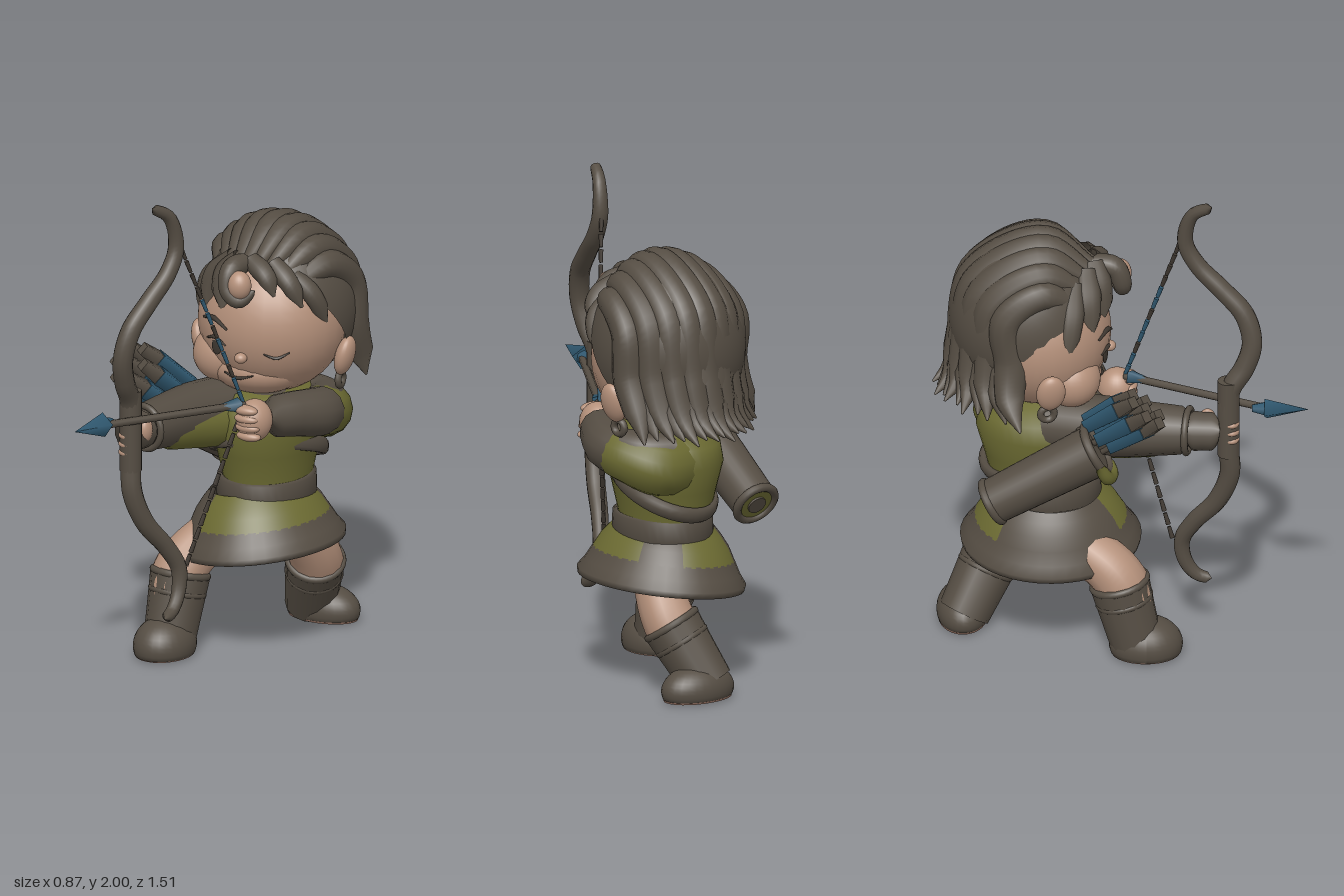
import * as THREE from 'three';

const mat = (name, color, side = THREE.FrontSide) => {
  const m = new THREE.MeshStandardMaterial({ color, side });
  m.name = name;
  return m;
};

export function createModel() {
  const root = new THREE.Group();
  const brown = mat('leather and hair brown', 0x554d43, THREE.DoubleSide);
  const olive = mat('olive cloth', 0x6b6a32, THREE.DoubleSide);
  const skin = mat('skin', 0xb5917b);
  const blue = mat('blue feathers', 0x315a72, THREE.DoubleSide);
  const dark = mat('dark lines', 0x3f3831);
  const sole = mat('boot sole', 0x7c5f52);
  const V = (p) => new THREE.Vector3(...p);

  const add = (name, geo, m, pos = [0, 0, 0], parent = root) => {
    const mesh = new THREE.Mesh(geo, m);
    mesh.name = name;
    mesh.position.set(...pos);
    parent.add(mesh);
    return mesh;
  };
  const ball = (name, pos, size, m, parent = root) => {
    const b = add(name, new THREE.SphereGeometry(1, 28, 20), m, pos, parent);
    b.scale.set(...size);
    return b;
  };
  // Tapered tube through points; radii are spread evenly along its length
  const loft = (name, pts, radii, m, round = 0, parent = root, seg = 28, sides = 14) => {
    const curve = new THREE.CatmullRomCurve3(pts.map(V), false, 'centripetal');
    const geo = new THREE.TubeGeometry(curve, seg, 1, sides);
    const a = geo.attributes.position, v = new THREE.Vector3();
    for (let i = 0; i < a.count; i++) {
      const t = Math.floor(i / (sides + 1)) / seg, c = curve.getPointAt(t);
      const f = t * (radii.length - 1), k = Math.min(Math.floor(f), radii.length - 2);
      let r = THREE.MathUtils.lerp(radii[k], radii[k + 1], f - k);
      if (round) {
        const e = Math.min(1, Math.min(t, 1 - t) / round);
        r *= Math.sqrt(Math.max(0, 1 - (1 - e) ** 2));
      }
      v.fromBufferAttribute(a, i).sub(c).multiplyScalar(r).add(c);
      a.setXYZ(i, v.x, v.y, v.z);
    }
    return add(name, geo, m, [0, 0, 0], parent);
  };
  const rod = (name, p, q, r0, r1, m, sides = 8) => {
    const a = V(p), b = V(q), d = b.clone().sub(a);
    const mesh = add(name, new THREE.CylinderGeometry(r1, r0, d.length(), sides), m,
      a.clone().add(b).multiplyScalar(0.5).toArray());
    mesh.quaternion.setFromUnitVectors(new THREE.Vector3(0, 1, 0), d.normalize());
    return mesh;
  };
  const ring = (name, pos, dir, r, tube, m) => {
    const t = add(name, new THREE.TorusGeometry(r, tube, 10, 36), m, pos);
    t.quaternion.setFromUnitVectors(new THREE.Vector3(0, 0, 1), V(dir).normalize());
    return t;
  };
  const lathe = (name, prof, m, pos, sx, sz, parent = root, from = 0, arc = Math.PI * 2) => {
    const l = add(name, new THREE.LatheGeometry(prof.map((p) => new THREE.Vector2(...p)), 40, from, arc), m, pos, parent);
    l.scale.set(sx, 1, sz);
    return l;
  };

  // Tunic and belt
  lathe('tunic', [[0.2, 0.6], [0.205, 0.7], [0.235, 0.82], [0.265, 0.93], [0.25, 1.01], [0.19, 1.07], [0.001, 1.1]],
    olive, [0.08, 0, -0.31], 0.84, 1.03);
  lathe('belt', [[0.2, 0.61], [0.225, 0.615], [0.222, 0.7], [0.2, 0.705]], brown, [0.08, 0, -0.3], 0.87, 1);
  // Bell skirt tilted up on the left: olive panels front and back, leather elsewhere
  const skirt = new THREE.Group();
  skirt.name = 'skirt';
  skirt.position.set(0.05, 0.6, -0.28);
  skirt.rotation.z = 0.12;
  root.add(skirt);
  const panel = [[0.2, 0.05], [0.235, 0.015], [0.272, -0.03], [0.302, -0.085]];
  for (const [m, from, to] of [[olive, -0.45, 2.1], [brown, 2.1, 2.75], [olive, 2.75, 3.9], [brown, 3.9, 5.84]]) {
    lathe('skirtPanel', panel, m, [0, 0, 0], 0.92, 1.02, skirt, from, to - from);
  }
  lathe('skirtBorder', [[0.3, -0.08], [0.33, -0.135], [0.36, -0.175], [0.355, -0.2], [0.32, -0.205], [0.27, -0.14], [0.001, -0.09]],
    brown, [0, 0, 0], 0.92, 1.02, skirt);
  // Flat chest strap, higher at the front left and low at the back
  const strap = ring('chestStrap', [0.08, 0.815, -0.31], [-0.15, 0.85, -0.3], 0.226, 0.02, brown);
  strap.scale.set(0.9, 1.12, 1.7);
  ball('collar', [0.09, 1.015, -0.27], [0.19, 0.075, 0.2], brown);

  // Legs, boots and soles
  const leg = (side, hip, knee, ankle, foot, half, height, yaw) => {
    loft(side + 'Leg', [hip, knee, ankle], [0.1, 0.112, 0.08], skin);
    const top = knee.map((c, i) => THREE.MathUtils.lerp(c, ankle[i], 0.06));
    loft(side + 'BootShaft', [top, ankle], [0.123, 0.114, 0.106], brown);
    const d = ankle.map((c, i) => c - top[i]);
    ring(side + 'BootCuff', top, d, 0.11, 0.016, brown);
    ring(side + 'BootFold', top.map((c, i) => c + d[i] * 0.28), d, 0.106, 0.014, brown);
    const g = new THREE.Group();
    g.name = side + 'Foot';
    g.position.set(...foot);
    g.rotation.y = yaw;
    root.add(g);
    const geo = new THREE.SphereGeometry(1, 28, 20);
    geo.scale(half[0], height, half[1]);
    geo.translate(0, 0.04, 0);
    const a = geo.attributes.position;
    for (let i = 0; i < a.count; i++) a.setY(i, Math.max(0.004, a.getY(i)));
    geo.computeVertexNormals();
    add(side + 'BootFoot', geo, brown, [0, 0, 0], g);
    const s = add(side + 'Sole', new THREE.CylinderGeometry(1, 1, 0.008, 28), sole, [0, 0.004, 0], g);
    s.scale.set(half[0] * 0.93, 1, half[1] * 0.93);
  };
  leg('right', [-0.07, 0.47, -0.19], [-0.15, 0.33, -0.01], [-0.162, 0.05, 0.06], [-0.16, 0, 0.1], [0.122, 0.15], 0.115, 0);
  leg('left', [0.17, 0.48, -0.38], [0.19, 0.3, -0.5], [0.09, 0.05, -0.63], [0.145, 0, -0.635], [0.106, 0.165], 0.1, Math.PI / 2);

  // Drawing arm and hand
  loft('leftUpperSleeve', [[0.1, 0.94, -0.44], [0.23, 0.945, -0.47], [0.3, 0.975, -0.39], [0.32, 0.99, -0.29]],
    [0.13, 0.122, 0.11, 0.1], olive, 0.12);
  loft('shoulderCap', [[0.14, 1.0, -0.5], [0.27, 1.0, -0.44], [0.325, 1.015, -0.33]], [0.08, 0.088, 0.085], brown, 0.2);
  loft('leftSleeve', [[0.315, 0.99, -0.36], [0.325, 1.0, -0.28], [0.28, 1.015, -0.17], [0.225, 1.02, -0.07]],
    [0.1, 0.1, 0.093, 0.085], brown, 0.12);
  ball('leftHand', [0.195, 1.02, -0.01], [0.073, 0.088, 0.08], skin);
  for (let i = 0; i < 4; i++) {
    ball('leftFinger', [0.185 + 0.005 * i, 1.075 - i * 0.036, 0.043], [0.055, 0.021, 0.03], skin);
  }

  // Bow arm and hand
  loft('rightSleeve', [[0, 0.985, -0.32], [-0.1, 1.0, -0.02], [-0.155, 1.01, 0.29]], [0.13, 0.123, 0.095], brown, 0.08);
  loft('sleeveUnderside', [[0.0, 0.95, -0.2], [-0.08, 0.965, 0.0], [-0.13, 0.977, 0.18]], [0.115, 0.107, 0.085], olive, 0.1);
  ring('rightCuff', [-0.155, 1.01, 0.27], [-0.06, 0, 0.3], 0.09, 0.014, brown);
  loft('rightGlove', [[-0.155, 1.01, 0.26], [-0.165, 1.01, 0.4]], [0.085, 0.078, 0.08], brown, 0.3);
  for (let i = 0; i < 3; i++) ball('rightFinger', [-0.125, 1.03 - i * 0.036, 0.445], [0.043, 0.02, 0.035], skin);
  ball('rightThumb', [-0.1, 1.03, 0.35], [0.025, 0.05, 0.035], skin);

  // Head with face details laid on its surface
  const head = new THREE.Group();
  head.name = 'head';
  head.position.set(0.09, 1.36, -0.33);
  head.rotation.y = 0.18;
  root.add(head);
  const R = [0.305, 0.31, 0.295];
  ball('face', [0, 0, 0], R, skin, head);
  ball('chin', [-0.03, -0.19, 0.08], [0.2, 0.11, 0.17], skin, head);
  ball('cheek', [-0.17, -0.15, 0.1], [0.13, 0.12, 0.12], skin, head);
  ball('nose', [-0.03, -0.1, 0.288], [0.026, 0.022, 0.026], skin, head);
  const onFace = (x, y, lift = 0.002) => [x, y, R[2] * Math.sqrt(1 - (x / R[0]) ** 2 - (y / R[1]) ** 2) + lift];
  const line = (name, pts, r) =>
    loft(name, pts.map((p) => onFace(...p)), [r * 0.4, r, r * 0.4], dark, 0, head, 16, 6);
  line('closedEye', [[0.065, -0.075], [0.115, -0.093], [0.165, -0.068]], 0.007);
  line('rightBrow', [[-0.22, 0.03], [-0.16, 0.045], [-0.09, 0.01]], 0.012);
  line('rightLashes', [[-0.2, -0.05], [-0.15, -0.035], [-0.1, -0.06]], 0.009);
  const eye = ball('rightEye', onFace(-0.15, -0.077, 0), [0.028, 0.033, 0.006], dark, head);
  eye.rotation.y = -0.5;
  // Mouth sits on the chin
  loft('mouth', [[-0.12, -0.185, 0.234], [-0.06, -0.2, 0.249], [0.01, -0.185, 0.247]], [0.003, 0.008, 0.003], dark, 0, head, 16, 6);
  for (const s of [-1, 1]) {
    const ear = ball(s > 0 ? 'leftEar' : 'rightEar', [s * 0.308, -0.14, -0.01], [0.038, 0.085, 0.06], skin, head);
    ear.rotation.z = -s * 0.25;
    const drop = add('earring', new THREE.TorusGeometry(0.028, 0.015, 8, 16), brown, [s * 0.285, -0.245, -0.02], head);
    drop.rotation.y = Math.PI / 2;
  }

  // Hair cap, tilted back to leave the face open
  const cap = new THREE.SphereGeometry(1, 40, 28, 0, Math.PI * 2, 0, 1.78);
  cap.rotateX(-0.85);
  cap.scale(0.318, 0.355, 0.32);
  add('hairCap', cap, brown, [0.108, 1.415, -0.372]);
  // Broad locks swept from the forehead over the crown, flaring out to the right
  for (let i = -4; i <= 4; i++) {
    const L = i / 4, q = L * L;
    loft('hairLock', [
      [0.1 + 0.17 * L, 1.64 - 0.09 * q, -0.11 - 0.08 * q],
      [0.11 + 0.23 * L, 1.748 - 0.13 * q, -0.32],
      [0.11 + 0.255 * L, 1.6 - 0.08 * q, -0.58 + 0.12 * q],
      [0.11 + 0.26 * L, 1.33, -0.635 + 0.17 * q - 0.02 * L],
      [0.085 + 0.285 * L, 1.16 + 0.02 * q, -0.68 + 0.18 * q - 0.05 * L],
      [0.04 + 0.335 * L, 1.08 + (i % 2 ? 0.015 : 0), -0.75 + 0.25 * q - 0.09 * L],
    ], [0.025, 0.06, 0.066, 0.072, 0.072, 0.06, 0.004], brown, 0, root, 36, 12);
  }
  // Ragged ends between the locks
  for (let i = -3; i <= 4; i++) {
    const L = (i - 0.5) / 4, q = L * L;
    loft('hairEnd', [[0.11 + 0.25 * L, 1.33, -0.62 + 0.17 * q - 0.02 * L], [0.085 + 0.285 * L, 1.17, -0.67 + 0.18 * q - 0.05 * L],
      [0.04 + 0.335 * L, 1.1, -0.73 + 0.24 * q - 0.09 * L]], [0.06, 0.055, 0.004], brown, 0, root, 14, 10);
  }
  // Inner hair behind the neck
  loft('napeHair', [[0.1, 1.45, -0.48], [0.1, 1.28, -0.53], [0.1, 1.13, -0.58]], [0.2, 0.18, 0.11], brown, 0.15).scale.x = 1.1;
  // Fringe
  for (const [r, ...p] of [
    [0.045, [0.12, 1.66, -0.11], [0.21, 1.61, -0.08], [0.24, 1.53, -0.09]],
    [0.045, [0.2, 1.65, -0.15], [0.29, 1.58, -0.13], [0.33, 1.48, -0.16]],
    [0.042, [0.27, 1.6, -0.19], [0.35, 1.52, -0.21], [0.375, 1.38, -0.28]],
    [0.06, [0.08, 1.66, -0.11], [0.02, 1.58, -0.09], [0.01, 1.43, -0.07]],
    [0.055, [0.03, 1.65, -0.14], [-0.06, 1.55, -0.13], [-0.09, 1.4, -0.12]],
    [0.05, [-0.03, 1.62, -0.19], [-0.13, 1.5, -0.2], [-0.175, 1.32, -0.23]],
  ]) loft('fringe', p, [r * 0.8, r, r * 0.85, 0.006], brown, 0, root, 20, 10);
  // Rolled curl over the forehead
  loft('foreheadCurl', [[0.1, 1.65, -0.12], [0.08, 1.635, -0.02], [0.085, 1.56, 0.01], [0.13, 1.52, 0.005], [0.18, 1.56, -0.04]],
    [0.04, 0.045, 0.04, 0.032, 0.015], brown, 0.1);
  ball('curlBead', [0.13, 1.585, 0.0], [0.05, 0.06, 0.048], skin);

  // Quiver with an olive base plate and a lining showing under the mouth
  const qa = [-0.225, 0.73, -0.52], qb = [-0.235, 0.97, -0.1];
  const qd = qb.map((c, i) => c - qa[i]);
  const along = (t) => qa.map((c, i) => c + qd[i] * t);
  rod('quiver', qa, qb, 0.094, 0.108, brown, 28);
  ring('quiverBaseRim', qa, qd, 0.086, 0.018, brown);
  rod('quiverBasePlate', along(-0.012), along(0.01), 0.084, 0.084, olive, 28);
  rod('quiverStud', along(-0.03), along(0.01), 0.04, 0.04, brown, 16);
  ring('quiverMouthRim', qb, qd, 0.105, 0.018, brown);
  loft('quiverLining', [[-0.35, 0.95, -0.09], [-0.325, 0.89, -0.06], [-0.24, 0.865, -0.04], [-0.16, 0.88, -0.05]],
    [0.022, 0.03, 0.028, 0.02], olive, 0.1);

  // Stored arrows, with one in the middle of a ring
  for (let i = 0; i < 7; i++) {
    const a = i * Math.PI / 3, r = i < 6 ? 0.055 : 0, u = Math.cos(a) * r, w = Math.sin(a) * r;
    const s = [-0.19 + u, 1.02 + w, -0.09 - w], e = [-0.325 + u * 1.2, 1.2 + w, 0.09 - w * 1.1];
    const at = (t) => s.map((c, k) => c + (e[k] - c) * t);
    rod('storedArrow', at(-0.2), e, 0.014, 0.014, brown, 6);
    rod('storedFeather', at(0.02), at(0.75), 0.038, 0.048, blue, 4);
    rod('featherTip', at(0.73), at(1.05), 0.044, 0.032, brown, 4);
  }

  // Bow
  loft('bow', [
    [-0.06, 1.985, 0.37], [-0.025, 1.93, 0.29], [-0.01, 1.8, 0.262], [-0.02, 1.7, 0.31], [-0.05, 1.6, 0.41],
    [-0.08, 1.5, 0.5], [-0.1, 1.38, 0.53], [-0.11, 1.275, 0.5], [-0.12, 1.17, 0.44], [-0.12, 0.92, 0.435],
    [-0.11, 0.79, 0.44], [-0.08, 0.65, 0.39], [-0.035, 0.53, 0.3], [-0.005, 0.43, 0.25], [0.0, 0.33, 0.262],
    [0.0, 0.265, 0.31], [0.0, 0.245, 0.37],
  ], [0.022, 0.033, 0.038, 0.042, 0.042, 0.042, 0.042, 0.038, 0.033, 0.024], brown, 0.015, root, 90, 12);
  rod('bowGrip', [-0.12, 0.88, 0.435], [-0.12, 1.22, 0.435], 0.045, 0.045, brown, 14);

  // Bowstring in twisted segments
  const nock = [0.165, 1.09, 0.02];
  for (const [end, tint] of [[[0.0, 1.79, 0.24], blue], [[0.005, 0.43, 0.21], dark]]) {
    for (let i = 0; i < 12; i++) {
      const at = (t) => end.map((c, k) => c + (nock[k] - c) * t);
      rod('bowstring', at(i / 12), at((i + 0.85) / 12), 0.01, 0.008, i % 3 && i > 3 ? tint : dark, 6);
    }
  }

  // Nocked arrow
  rod('arrowShaft', nock, [-0.16, 1.11, 0.6], 0.016, 0.016, brown, 8);
  rod('arrowHead', [-0.157, 1.11, 0.585], [-0.19, 1.122, 0.755], 0.05, 0.001, blue, 4);
  rod('arrowSocket', [-0.15, 1.108, 0.53], [-0.158, 1.11, 0.59], 0.016, 0.032, blue, 6);
  rod('arrowFeather', [0.155, 1.092, 0.04], [0.115, 1.095, 0.11], 0.032, 0.014, blue, 4);

  return root;
}
